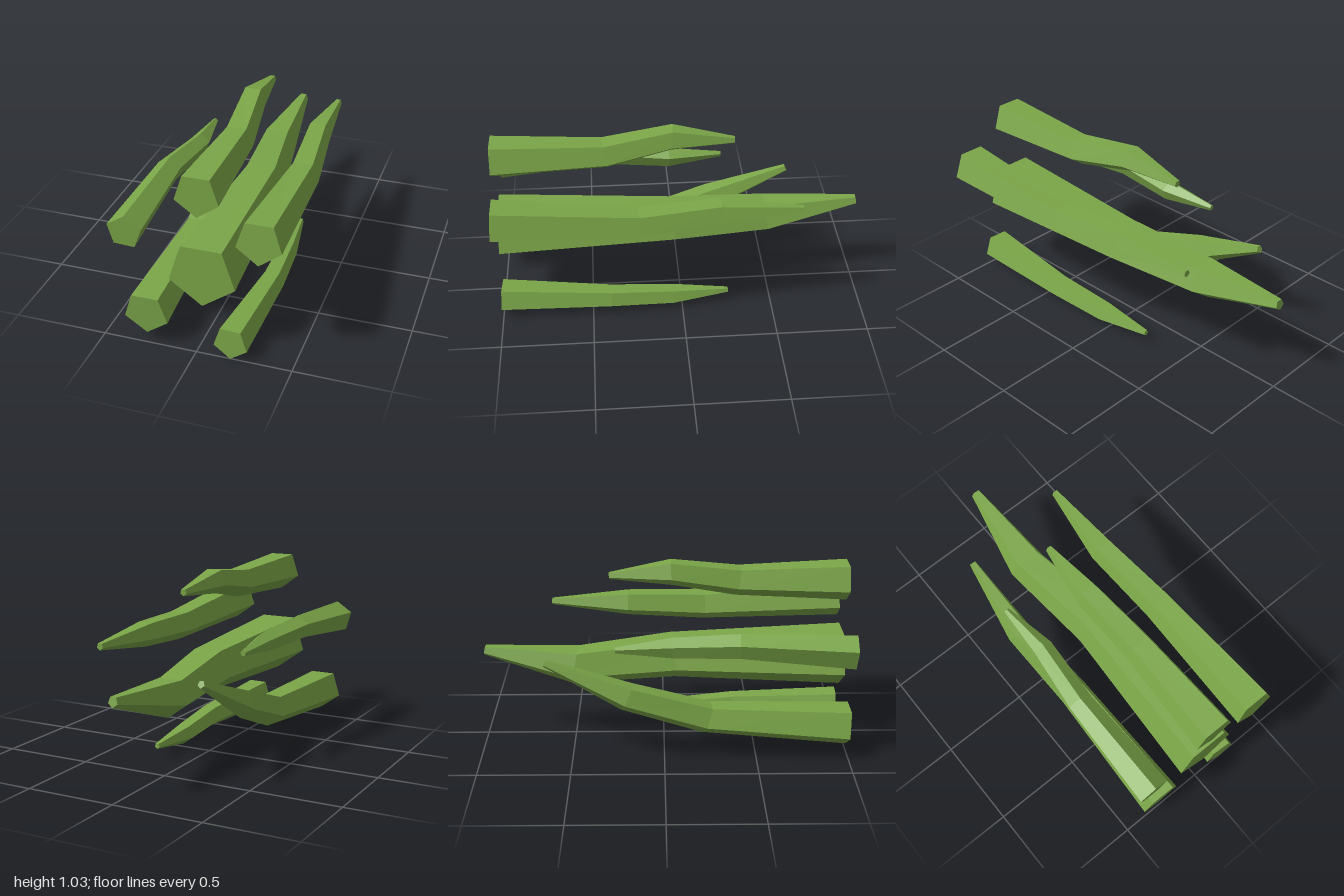
import * as THREE from 'three';

// Each spike: rings of [x, y, z, radius] from the blunt front to the tip; turn = angle of the first corner in degrees
const SPIKES = [
  { name: 'centreSpike', turn: -90, rings: [[0.035, 0.467, 0.99, 0.18], [0.037, 0.465, 0.05, 0.132], [-0.03, 0.436, -0.49, 0.111], [-0.01, 0.52, -0.99, 0.029]] },
  { name: 'topSpike', turn: -90, rings: [[0.023, 0.912, 1, 0.117], [0.023, 0.912, 0.4, 0.086], [-0.012, 0.97, 0.04, 0.074], [-0.004, 0.948, -0.296, 0.02]] },
  { name: 'upperLeftSpike', turn: -90, rings: [[0.328, 0.711, 1, 0.12], [0.325, 0.663, 0.23, 0.088], [0.287, 0.688, -0.2, 0.075], [0.298, 0.692, -0.635, 0.02]] },
  { name: 'lowerRightSpike', turn: -90, rings: [[-0.266, 0.181, 1, 0.121], [-0.264, 0.224, 0.23, 0.089], [-0.309, 0.369, -0.2, 0.075], [-0.296, 0.562, -0.635, 0.02]] },
  { name: 'upperRightSpike', turn: 87, rings: [[-0.357, 0.642, 1, 0.093], [-0.357, 0.678, 0.4, 0.068], [-0.32, 0.656, 0.04, 0.057], [-0.337, 0.65, -0.26, 0.016]] },
  { name: 'lowerLeftSpike', turn: -90, rings: [[0.18, 0.097, 1, 0.093], [0.213, 0.084, 0.4, 0.066], [0.195, 0.063, 0.05, 0.058], [0.188, 0.073, -0.26, 0.016]] },
];
const SIDES = 5;

// Five-sided loft; every ring is square to the segment that leaves it
function spikeGeometry(rings, turn) {
  const last = rings.length - 1;
  const loops = rings.map(([x, y, z, r], i) => {
    const k = Math.min(i, last - 1);
    const from = rings[k], to = rings[k + 1];
    const run = to[2] - from[2];
    const sx = (to[0] - from[0]) / run, sy = (to[1] - from[1]) / run;
    return Array.from({ length: SIDES }, (_, j) => {
      const a = THREE.MathUtils.degToRad(turn) + (j / SIDES) * Math.PI * 2;
      const dx = r * Math.cos(a), dy = r * Math.sin(a);
      return [x + dx, y + dy, z - sx * dx - sy * dy];
    });
  });

  const pos = [];
  const tri = (a, b, c) => pos.push(...a, ...b, ...c);
  // side faces
  for (let i = 0; i < last; i++) {
    for (let j = 0; j < SIDES; j++) {
      const n = (j + 1) % SIDES;
      const a = loops[i][j], b = loops[i][n], c = loops[i + 1][n], d = loops[i + 1][j];
      tri(a, d, c);
      tri(a, c, b);
    }
  }
  // end caps
  const front = loops[0], tip = loops[last];
  for (let j = 1; j < SIDES - 1; j++) {
    tri(front[0], front[j], front[j + 1]);
    tri(tip[0], tip[j + 1], tip[j]);
  }

  const geo = new THREE.BufferGeometry();
  geo.setAttribute('position', new THREE.Float32BufferAttribute(pos, 3));
  geo.computeVertexNormals();
  return geo;
}

export function createModel() {
  const model = new THREE.Group();
  model.name = 'spikeCluster';
  const green = new THREE.MeshStandardMaterial({ color: 0x7ba648, flatShading: true });
  for (const { name, turn, rings } of SPIKES) {
    const spike = new THREE.Mesh(spikeGeometry(rings, turn), green);
    spike.name = name;
    model.add(spike);
  }
  return model;
}
